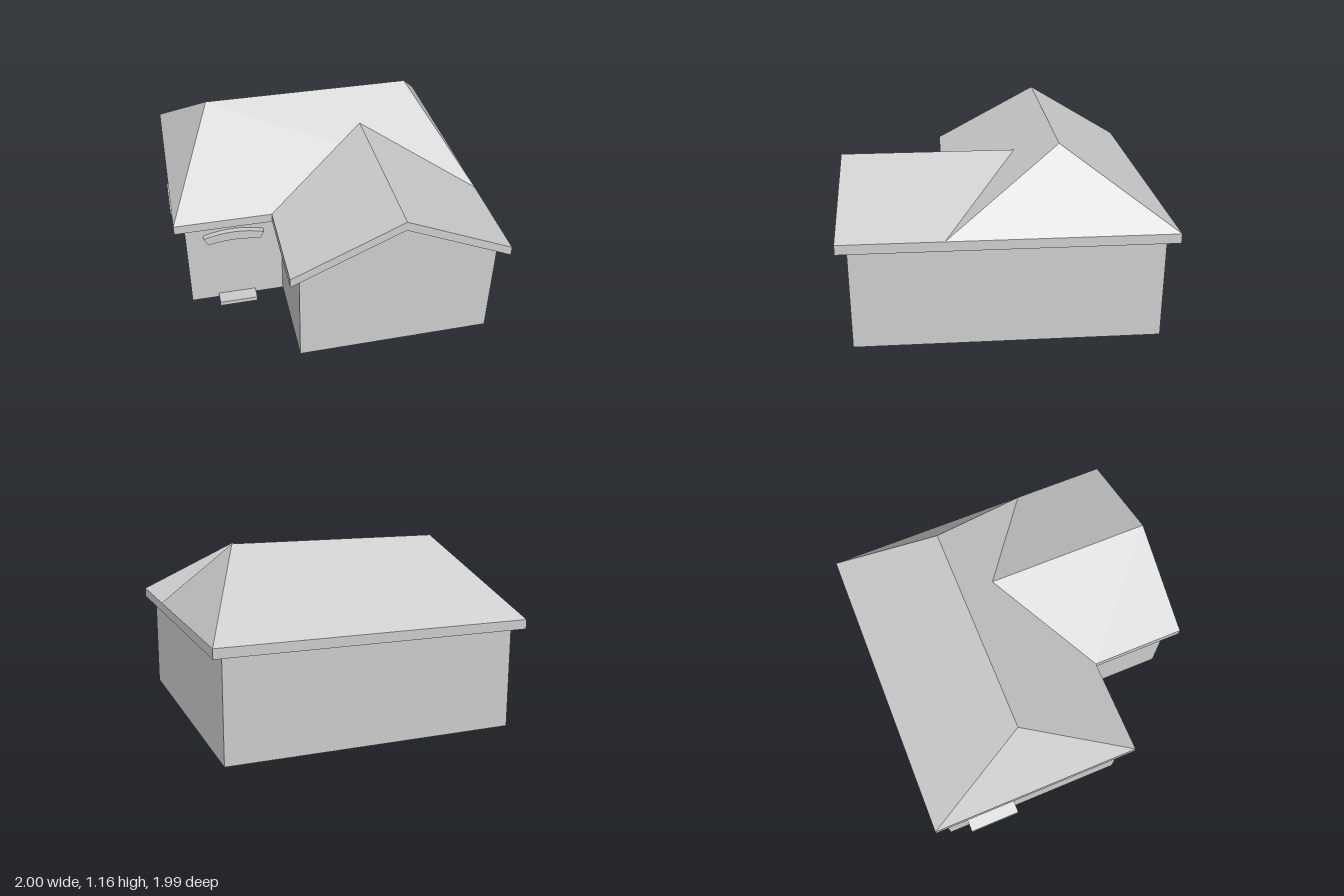
import * as THREE from 'three';
import { ConvexGeometry } from 'three/addons/geometries/ConvexGeometry.js';

const mat = new THREE.MeshStandardMaterial({ color: 0xcccccc, flatShading: true, side: THREE.DoubleSide });

// Shared measurements
const SOFFIT = 0.64, EAVE = 0.70;
const RIDGE = { y: 1.165, z: -0.313, x0: -0.675, x1: 0.685 };
const ROOF = { x0: -0.985, x1: 0.995, back: -0.995, front: 0.37 };
const WING = { x0: -0.365, x1: 0.995, mid: 0.317, peak: 1.01, front: 0.99 };
const SIDE_X = -0.92, FRONT_Z = 0.31;

function add(parent, name, geometry) {
  const mesh = new THREE.Mesh(geometry, mat);
  mesh.name = name;
  parent.add(mesh);
  return mesh;
}

function polygon(points) {
  return new THREE.Shape(points.map(([x, y]) => new THREE.Vector2(x, y)));
}

// L-shaped shell of walls, open below; each corner is [x, z, top]
function wallGeometry() {
  const top = 0.67;
  const corners = [
    [SIDE_X, -0.93, top], [SIDE_X, FRONT_Z, top], [-0.30, FRONT_Z, top], [-0.30, 0.93, top],
    [WING.mid, 0.93, 0.95], [0.93, 0.93, top], [0.93, -0.93, top],
  ];
  const pos = [];
  corners.forEach(([ax, az, ay], i) => {
    const [bx, bz, by] = corners[(i + 1) % corners.length];
    pos.push(ax, 0, az, bx, 0, bz, bx, by, bz);
    pos.push(ax, 0, az, bx, by, bz, ax, ay, az);
  });
  const geo = new THREE.BufferGeometry();
  geo.setAttribute('position', new THREE.Float32BufferAttribute(pos, 3));
  geo.computeVertexNormals();
  return geo;
}

// Hipped block with a flat soffit and a vertical fascia
function mainRoofGeometry() {
  const pts = [];
  for (const x of [ROOF.x0, ROOF.x1])
    for (const z of [ROOF.back, ROOF.front])
      for (const y of [SOFFIT, EAVE]) pts.push(new THREE.Vector3(x, y, z));
  for (const x of [RIDGE.x0, RIDGE.x1]) pts.push(new THREE.Vector3(x, RIDGE.y, RIDGE.z));
  return new ConvexGeometry(pts);
}

// Chevron slab whose back end is cut along the slope of the main roof
function wingRoofGeometry() {
  const t = EAVE - SOFFIT;
  const shape = polygon([
    [WING.x0, SOFFIT], [WING.mid, WING.peak - t], [WING.x1, SOFFIT],
    [WING.x1, EAVE], [WING.mid, WING.peak], [WING.x0, EAVE],
  ]);
  const geo = new THREE.ExtrudeGeometry(shape, { depth: 1, bevelEnabled: false });
  const p = geo.attributes.position;
  const run = (ROOF.front - RIDGE.z) / (RIDGE.y - EAVE);
  for (let i = 0; i < p.count; i++) {
    const cut = ROOF.front - Math.max(0, p.getY(i) - EAVE) * run;
    p.setZ(i, p.getZ(i) > 0.5 ? WING.front : cut);
  }
  geo.computeVertexNormals();
  return geo;
}

// Curved lintel centred on x = 0, its back on z = 0
function lintelGeometry() {
  const shape = new THREE.Shape();
  shape.moveTo(-0.168, 0.494);
  shape.quadraticCurveTo(0, 0.534, 0.168, 0.494);
  shape.lineTo(0.195, 0.547);
  shape.quadraticCurveTo(0, 0.609, -0.195, 0.547);
  shape.closePath();
  return new THREE.ExtrudeGeometry(shape, { depth: 0.035, bevelEnabled: false, curveSegments: 8 });
}

// Window sill with a sloping top, profile in x and y
function sillGeometry() {
  const shape = polygon([[-1.0, 0.16], [SIDE_X, 0.16], [SIDE_X, 0.22], [-1.0, 0.202]]);
  return new THREE.ExtrudeGeometry(shape, { depth: 0.34, bevelEnabled: false });
}

export function createModel() {
  const house = new THREE.Group();
  house.name = 'house';

  add(house, 'walls', wallGeometry());
  add(house, 'mainRoof', mainRoofGeometry());
  add(house, 'wingRoof', wingRoofGeometry());

  // Door on the front wall
  add(house, 'doorLintel', lintelGeometry()).position.set(-0.612, 0, FRONT_Z);
  add(house, 'doorStep', new THREE.BoxGeometry(0.25, 0.03, 0.09)).position.set(-0.615, 0.015, 0.355);

  // Window on the side wall
  const lintel = add(house, 'windowLintel', lintelGeometry());
  lintel.position.set(SIDE_X, 0, -0.62);
  lintel.rotation.y = -Math.PI / 2;
  add(house, 'windowSill', sillGeometry()).position.z = -0.79;

  return house;
}
